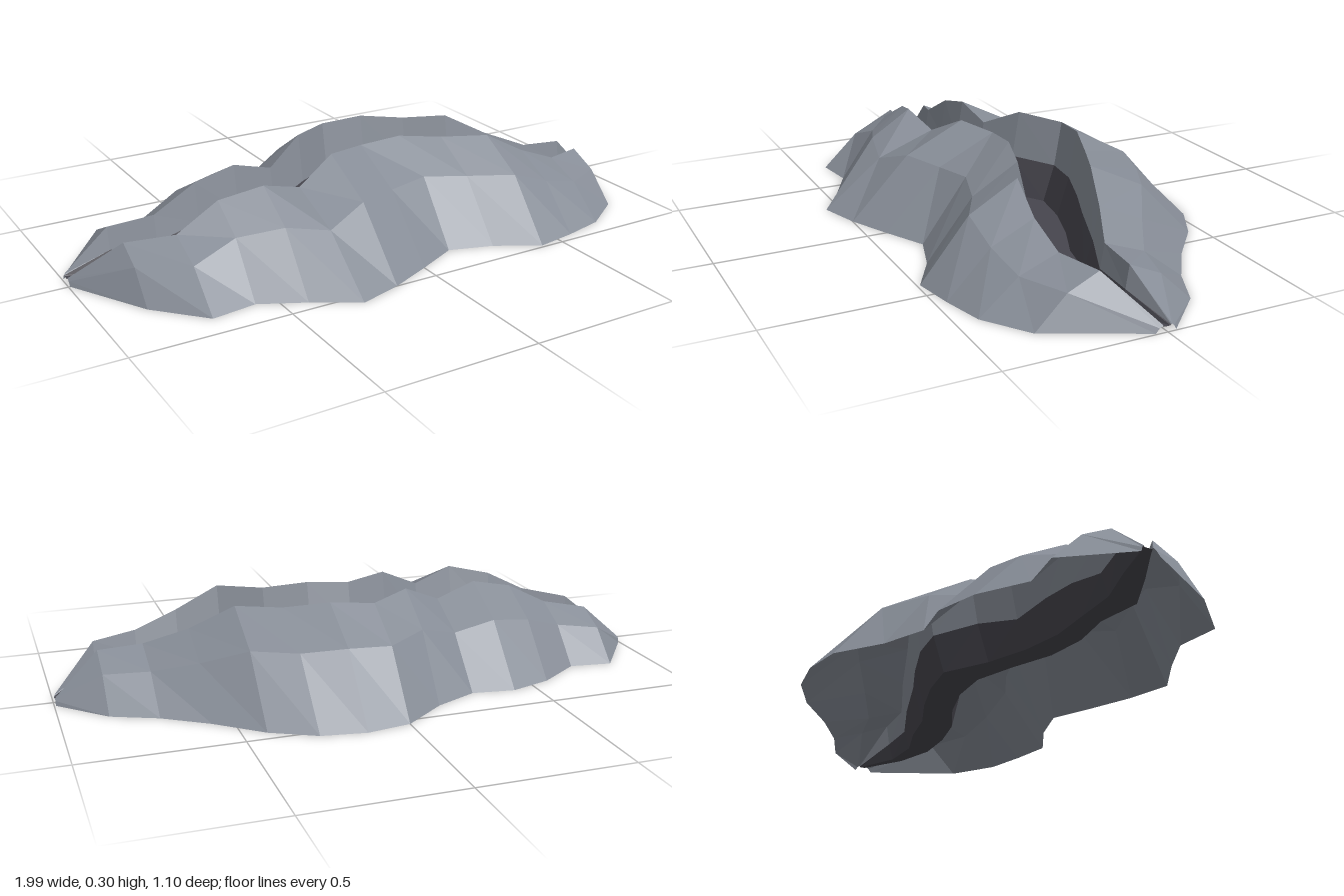
import * as THREE from 'three';

// One row per station along the ridge:
// x, rim height, back foot z, back rim z, front rim z, front foot z
const STATIONS = [
  [-0.995, 0.02, -0.06, -0.053, -0.02, 0.0],
  [-0.85, 0.147, -0.25, -0.05, 0.09, 0.26],
  [-0.71, 0.17, -0.23, -0.012, 0.165, 0.41],
  [-0.565, 0.245, -0.33, -0.022, 0.15, 0.39],
  [-0.425, 0.275, -0.375, -0.03, 0.18, 0.46],
  [-0.285, 0.232, -0.355, -0.05, 0.15, 0.545],
  [-0.142, 0.3, -0.42, -0.12, 0.1, 0.5],
  [0, 0.29, -0.53, -0.21, 0.05, 0.435],
  [0.142, 0.3, -0.553, -0.19, 0.06, 0.365],
  [0.285, 0.283, -0.53, -0.14, 0.1, 0.41],
  [0.425, 0.285, -0.455, -0.08, 0.17, 0.49],
  [0.565, 0.21, -0.335, -0.032, 0.185, 0.465],
  [0.705, 0.155, -0.24, 0.03, 0.18, 0.43],
  [0.85, 0.147, -0.175, 0.035, 0.13, 0.33],
  [0.995, 0.02, -0.03, -0.015, 0.012, 0.035],
];
const FLOOR = 0.015;

// Cross-section from the back foot, over both rims, to the front foot
function section([x, h, footB, rimB, rimF, footF]) {
  const lean = Math.min(0.23 * h, (rimF - rimB) * 0.3);
  const midY = FLOOR + (h - FLOOR) * 0.45;
  return [
    [footB, 0],
    [(footB + rimB) / 2, 0.68 * h],
    [rimB, h],
    [rimB + lean * 0.4, midY],
    [rimB + lean, FLOOR],
    [rimF - lean, FLOOR],
    [rimF - lean * 0.55, midY],
    [rimF, h],
    [(footF + rimF) / 2, 0.68 * h],
    [footF, 0],
  ].map(([z, y]) => [x, y, z]);
}

// Faceted surface between section points first..last
function band(sections, first, last, material, name) {
  const pos = [];
  for (let i = 0; i < sections.length - 1; i++) {
    for (let j = first; j < last; j++) {
      const a = sections[i][j], b = sections[i][j + 1];
      const c = sections[i + 1][j + 1], d = sections[i + 1][j];
      pos.push(...a, ...b, ...c, ...a, ...c, ...d);
    }
  }
  const geometry = new THREE.BufferGeometry();
  geometry.setAttribute('position', new THREE.Float32BufferAttribute(pos, 3));
  geometry.computeVertexNormals();
  const mesh = new THREE.Mesh(geometry, material);
  mesh.name = name;
  return mesh;
}

export function createModel() {
  const rock = new THREE.MeshStandardMaterial({ color: 0x878d97, flatShading: true, side: THREE.DoubleSide });
  rock.name = 'greyRock';
  const dark = new THREE.MeshStandardMaterial({ color: 0x47464e, flatShading: true, side: THREE.DoubleSide });
  dark.name = 'darkRock';

  const sections = STATIONS.map(section);
  const group = new THREE.Group();
  group.name = 'splitRockRidge';
  group.add(
    band(sections, 0, 2, rock, 'backSlope'),
    band(sections, 2, 3, rock, 'backUpperWall'),
    band(sections, 3, 6, dark, 'fissureBed'), // lower walls and floor
    band(sections, 6, 7, rock, 'frontUpperWall'),
    band(sections, 7, 9, rock, 'frontSlope'),
  );
  return group;
}
